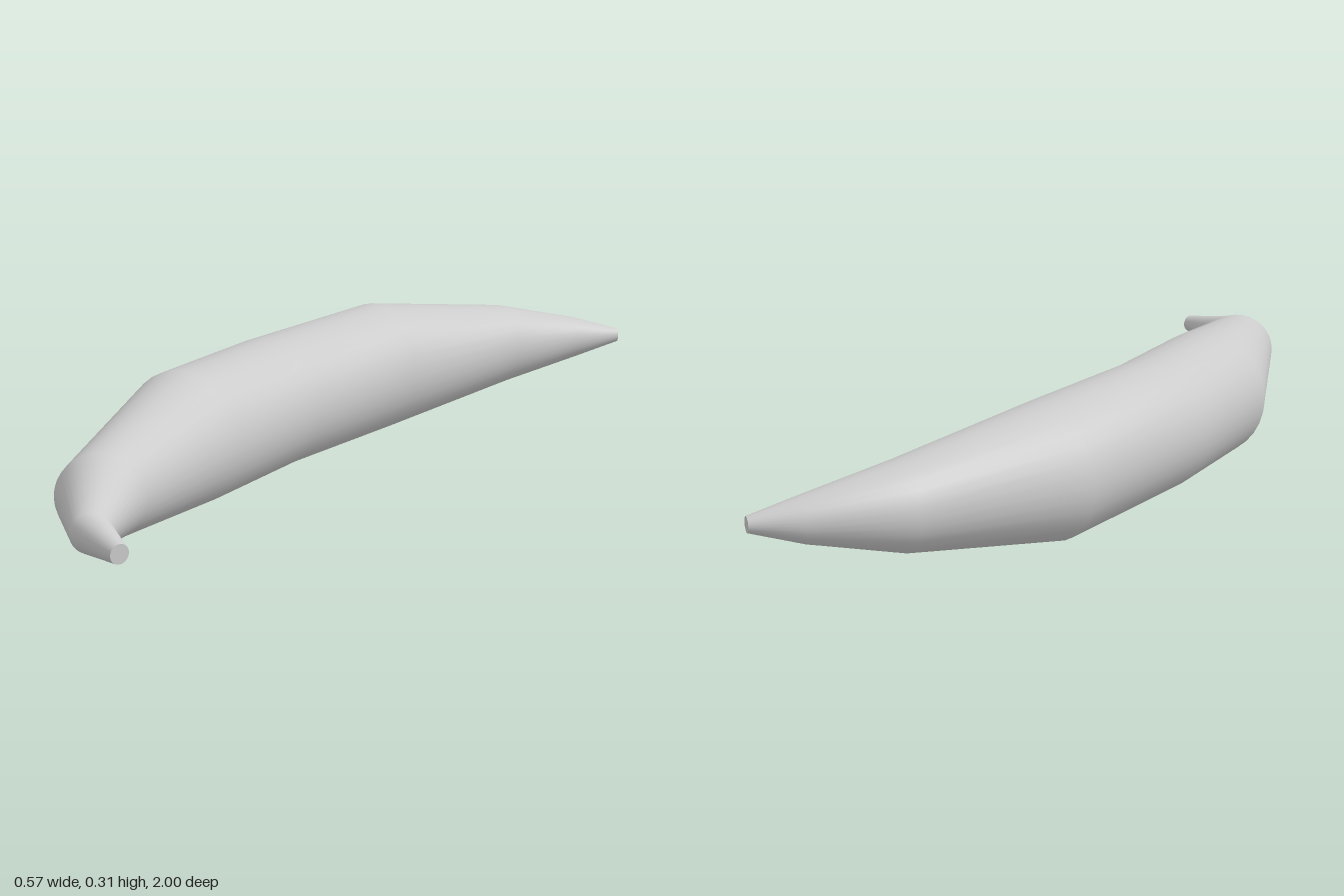
import * as THREE from 'three';

const SIDES = 32;
const MID_Y = 0.156;

// Round cross-sections from front stem to back tip: outer x, z and inner x, z
const SECTIONS = [
  [0.194, 0.999, 0.209, 0.96],
  [0.055, 0.955, 0.113, 0.89],
  [-0.115, 0.803, 0.045, 0.692],
  [-0.288, 0.34, 0.02, 0.333],
  [-0.288, 0.015, 0.019, 0.015],
  [-0.235, -0.457, 0.053, -0.345],
  [-0.021, -0.802, 0.146, -0.7],
  [0.156, -0.945, 0.226, -0.87],
  [0.26, -1.0, 0.286, -0.977],
];

// Circle standing upright, spanning from the outer to the inner point
function ring([ox, oz, ix, iz]) {
  const center = new THREE.Vector3((ox + ix) / 2, MID_Y, (oz + iz) / 2);
  const across = new THREE.Vector3((ox - ix) / 2, 0, (oz - iz) / 2);
  const up = new THREE.Vector3(0, across.length(), 0);
  const points = [];
  for (let j = 0; j < SIDES; j++) {
    const a = (j / SIDES) * Math.PI * 2;
    points.push(center.clone().addScaledVector(across, Math.cos(a)).addScaledVector(up, Math.sin(a)));
  }
  return { center, points };
}

function makeGeometry(points, index) {
  const geometry = new THREE.BufferGeometry().setFromPoints(points);
  geometry.setIndex(index);
  geometry.computeVertexNormals();
  return geometry;
}

// Smooth skin through all rings
function skin(rings) {
  const index = [];
  for (let i = 0; i < rings.length - 1; i++) {
    for (let j = 0; j < SIDES; j++) {
      const k = (j + 1) % SIDES;
      const a = i * SIDES + j, b = i * SIDES + k;
      index.push(a, b, a + SIDES, b, b + SIDES, a + SIDES);
    }
  }
  return makeGeometry(rings.flatMap((r) => r.points), index);
}

// Flat end disc
function cap({ center, points }, flip) {
  const index = [];
  for (let j = 0; j < SIDES; j++) {
    const k = (j + 1) % SIDES;
    index.push(SIDES, flip ? k : j, flip ? j : k);
  }
  return makeGeometry([...points, center], index);
}

export function createModel() {
  const group = new THREE.Group();
  group.name = 'banana';
  const material = new THREE.MeshStandardMaterial({ color: 0xcccccc });
  const rings = SECTIONS.map(ring);
  const add = (name, geometry) => {
    const mesh = new THREE.Mesh(geometry, material);
    mesh.name = name;
    group.add(mesh);
  };
  add('peel', skin(rings));
  add('stemEnd', cap(rings[0], true));
  add('blossomEnd', cap(rings[rings.length - 1], false));
  return group;
}
